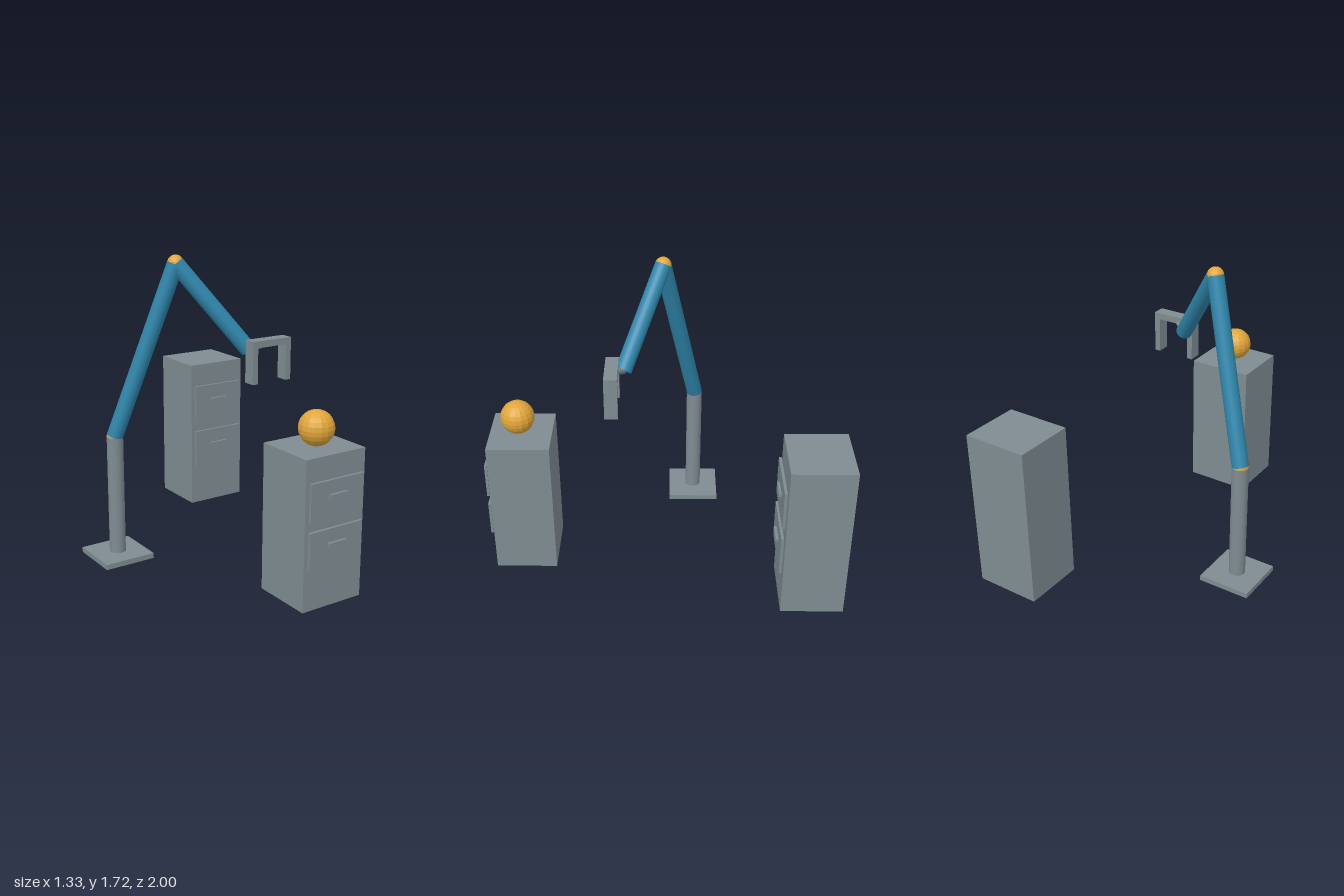
import * as THREE from 'three';

export function createModel() {
  const root = new THREE.Group();
  root.name = 'robotArmStation';

  const makeMaterial = (name, color) => {
    const m = new THREE.MeshStandardMaterial({ color });
    m.name = name;
    return m;
  };
  const grey = makeMaterial('steelGrey', 0x7f8c92);
  const blue = makeMaterial('armBlue', 0x2e86ab);
  const gold = makeMaterial('gold', 0xe0a63a);
  gold.flatShading = true;

  const add = (parent, name, geometry, material, x, y, z) => {
    const mesh = new THREE.Mesh(geometry, material);
    mesh.name = name;
    mesh.position.set(x, y, z);
    parent.add(mesh);
    return mesh;
  };

  // Box given by its limits on each axis
  const box = (parent, name, [x0, x1], [y0, y1], [z0, z1]) =>
    add(parent, name, new THREE.BoxGeometry(x1 - x0, y1 - y0, z1 - z0), grey,
      (x0 + x1) / 2, (y0 + y1) / 2, (z0 + z1) / 2);

  const ball = (parent, name, p, r) =>
    add(parent, name, new THREE.SphereGeometry(r, 16, 12), gold, p.x, p.y, p.z);

  // Cylinder running from point a to point b
  const rod = (parent, name, a, b, r, material) => {
    const d = b.clone().sub(a);
    const c = a.clone().add(b).multiplyScalar(0.5);
    const mesh = add(parent, name, new THREE.CylinderGeometry(r, r, d.length(), 24), material, c.x, c.y, c.z);
    mesh.quaternion.setFromUnitVectors(new THREE.Vector3(0, 1, 0), d.normalize());
  };

  // Robot arm
  const arm = new THREE.Group();
  arm.name = 'robotArm';
  root.add(arm);
  const foot = new THREE.Vector3(-0.52, 0.03, -0.19);
  const shoulder = new THREE.Vector3(-0.52, 0.715, -0.19);
  const elbow = new THREE.Vector3(-0.23, 1.675, 0);
  const wrist = new THREE.Vector3(0.1, 1.205, 0.212);
  const hand = new THREE.Vector3(0.19, 1.247, 0.27);
  const radius = 0.046;
  box(arm, 'basePlate', [-0.67, -0.37], [0, 0.03], [-0.34, -0.04]);
  rod(arm, 'post', foot, shoulder, radius, grey);
  rod(arm, 'upperArm', shoulder, elbow, radius, blue);
  rod(arm, 'forearm', elbow, wrist, radius, blue);
  rod(arm, 'wristLink', wrist, hand, 0.019, grey);
  ball(arm, 'shoulderJoint', shoulder, radius);
  ball(arm, 'elbowJoint', elbow, radius);

  // Gripper: crossbar with two fingers
  const gripper = new THREE.Group();
  gripper.name = 'gripper';
  arm.add(gripper);
  const gripZ = [0.236, 0.308];
  box(gripper, 'crossbar', [0.063, 0.317], [1.23, 1.267], gripZ);
  box(gripper, 'rightFinger', [0.063, 0.096], [1.03, 1.23], gripZ);
  box(gripper, 'leftFinger', [0.284, 0.317], [1.03, 1.23], gripZ);

  // Cabinet with two drawers, each with a bar handle
  const cabinet = (name, cx, height, z0, drawers) => {
    const g = new THREE.Group();
    g.name = name;
    root.add(g);
    const front = z0 + 0.347;
    const across = (w) => [cx - w / 2, cx + w / 2];
    box(g, 'cabinetBody', across(0.38), [0, height], [z0, front]);
    for (const [bottom, top] of drawers) {
      const mid = (bottom + top) / 2 + 0.02;
      box(g, 'drawerFront', across(0.34), [bottom, top], [front + 0.006, front + 0.021]);
      box(g, 'drawerHandle', across(0.112), [mid - 0.009, mid + 0.009], [front + 0.021, front + 0.036]);
    }
  };
  cabinet('frontCabinet', 0.1, 0.815, 0.617, [[0.23, 0.434], [0.49, 0.692]]);
  cabinet('backCabinet', 0.473, 0.922, -1, [[0.258, 0.488], [0.555, 0.785]]);

  // Ball resting on the front cabinet
  ball(root, 'ball', new THREE.Vector3(0.1, 0.91, 0.805), 0.095);

  return root;
}
